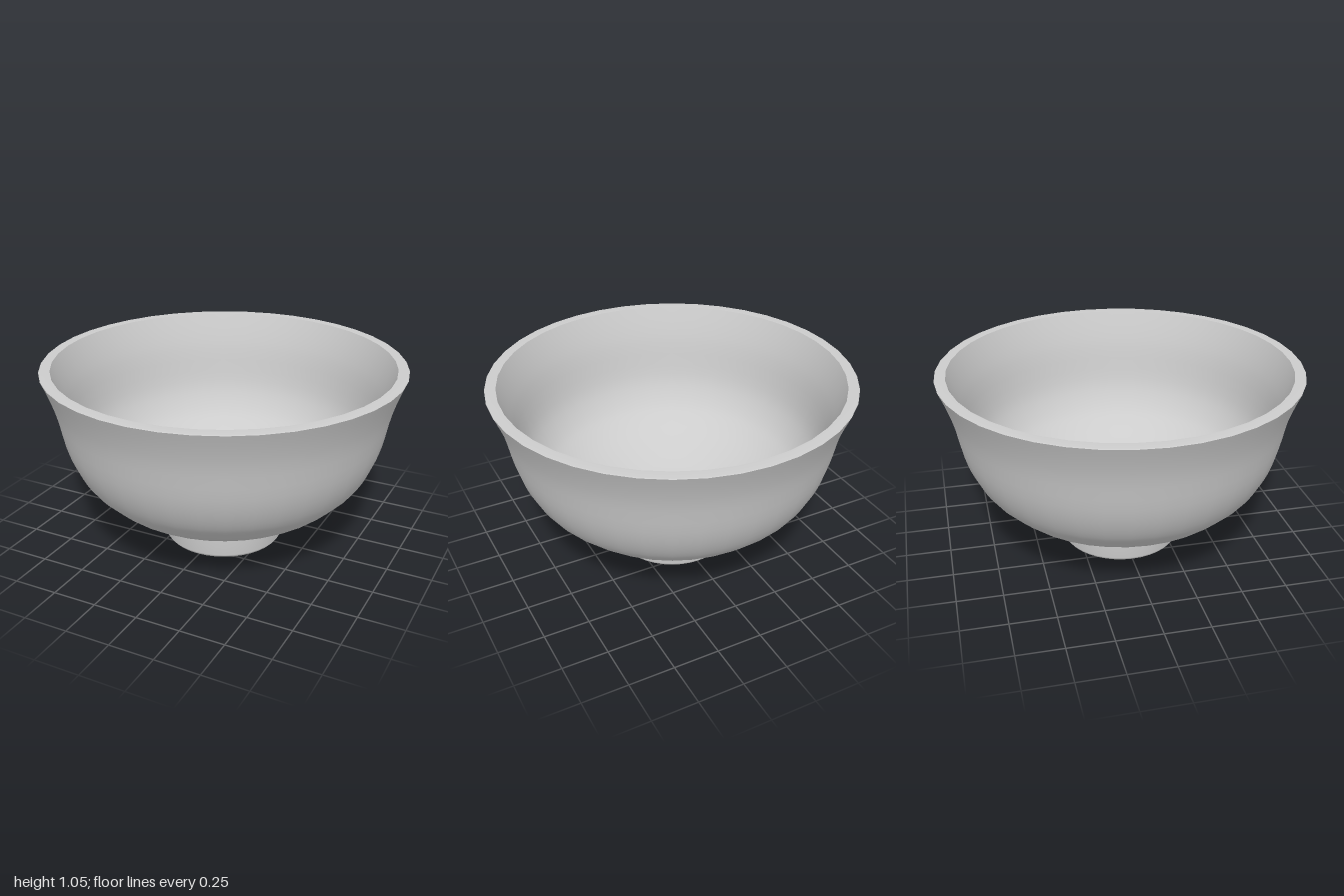
import * as THREE from 'three';

const SIDES = 40;
const material = new THREE.MeshStandardMaterial({ color: 0xcccccc });

// Turn a radius/height profile; separate sections keep sharp edges between them.
function turned(name, profile, smoothSteps = 0) {
  let points = profile.map(([r, y]) => new THREE.Vector2(r, y));
  if (smoothSteps) points = new THREE.SplineCurve(points).getPoints(smoothSteps);
  const mesh = new THREE.Mesh(new THREE.LatheGeometry(points, SIDES), material);
  mesh.name = name;
  return mesh;
}

export function createModel() {
  const bowl = new THREE.Group();
  bowl.name = 'bowl';

  // Foot ring with a softened lower edge and a flat base
  bowl.add(turned('footBase', [[0, 0], [0.305, 0]]));
  bowl.add(turned('foot', [[0.305, 0], [0.328, 0.008], [0.34, 0.025], [0.34, 0.15]]));

  // Flared outer wall
  bowl.add(turned('outerWall', [
    [0.335, 0.15], [0.49, 0.22], [0.635, 0.29], [0.73, 0.37], [0.795, 0.44],
    [0.85, 0.54], [0.89, 0.66], [0.925, 0.83], [0.962, 0.95], [1, 1.045],
  ], 24));

  // Flat lip
  bowl.add(turned('rim', [[1, 1.045], [0.995, 1.05], [0.94, 1.05]]));

  // Inside wall running down to a gently dished floor
  bowl.add(turned('innerWall', [
    [0.94, 1.05], [0.902, 0.95], [0.865, 0.83], [0.83, 0.66], [0.795, 0.56],
    [0.74, 0.47], [0.68, 0.41], [0.59, 0.345], [0.46, 0.28], [0.3, 0.22],
    [0.15, 0.205], [0, 0.2],
  ], 28));

  return bowl;
}
